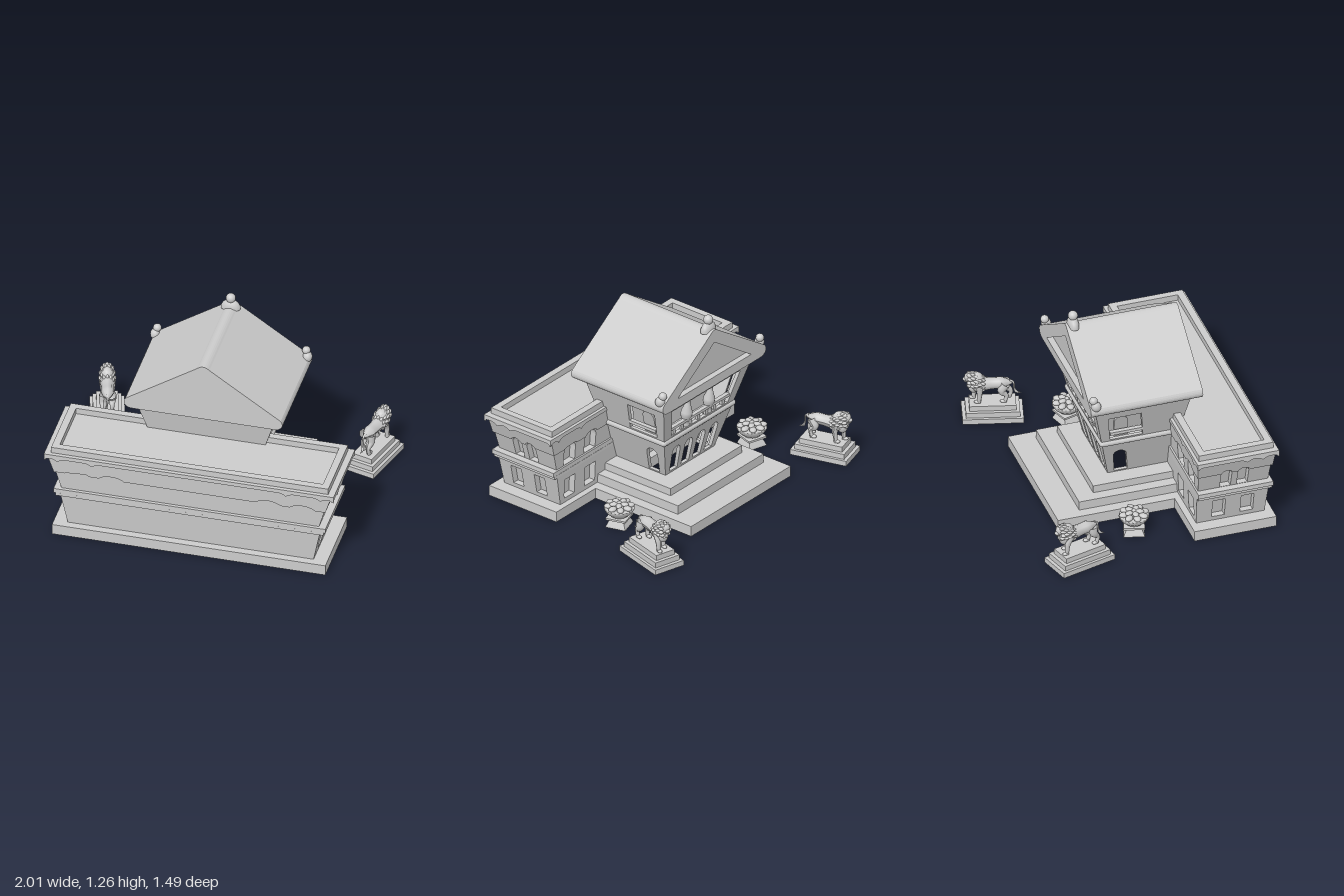
import * as THREE from 'three';

const V = (x, y, z) => new THREE.Vector3(x, y, z);
const lerp = THREE.MathUtils.lerp;
const mat = new THREE.MeshStandardMaterial({ color: 0xcccccc, side: THREE.DoubleSide });

function add(parent, name, geo, x = 0, y = 0, z = 0) {
  const m = new THREE.Mesh(geo, mat);
  m.name = name;
  m.position.set(x, y, z);
  parent.add(m);
  return m;
}
// box given by its limits, centred on x
const slab = (p, name, hx, y0, y1, z0, z1) =>
  add(p, name, new THREE.BoxGeometry(2 * hx, y1 - y0, z1 - z0), 0, (y0 + y1) / 2, (z0 + z1) / 2);
const rect = (u, y, w, h, lean = 0, flare = 0) => ({ u, y, w, h, lean, flare });
const arch = (u, y, w, h, lean = 0) => ({ u, y, w, h, lean, flare: 0, round: true });
const mirror = o => ({ ...o, u: -o.u, lean: -o.lean });

function holePath(o) {
  const at = (x, y) => new THREE.Vector2(o.u + x * (1 + 2 * o.flare * y / o.w) + o.lean * y, o.y + y);
  const r = o.w / 2, pts = [at(-r, 0), at(r, 0)];
  if (!o.round) pts.push(at(r, o.h), at(-r, o.h));
  else for (let i = 0; i <= 12; i++) {
    const a = i / 12 * Math.PI;
    pts.push(at(r * Math.cos(a), o.h - r + r * Math.sin(a)));
  }
  return new THREE.Path(pts);
}
const solid = o => new THREE.Shape(holePath(o).getPoints());
const poly = pts => new THREE.Shape(pts.map(q => new THREE.Vector2(...q)));

// one upright slab facing side s (front, left, back, right), its outer face leaning from ob to ot
function panel(p, name, s, shape, y0, y1, ob, ot, th) {
  const g = new THREE.ExtrudeGeometry(shape, { depth: th, bevelEnabled: false });
  const a = g.attributes.position;
  for (let i = 0; i < a.count; i++) {
    const u = a.getX(i), y = a.getY(i), o = lerp(ob, ot, (y - y0) / (y1 - y0)) - th + a.getZ(i);
    a.setXYZ(i, ...[[u, y, o], [o, y, -u], [-u, y, -o], [-o, y, u]][s]);
  }
  g.computeVertexNormals();
  return add(p, name, g);
}
// four leaning walls; b and t are [half width, back z, front z] at bottom and top
function walls(p, name, b, t, y0, y1, holes = [[], [], []], th = 0.025) {
  const spans = ([h, z0, z1]) => [[-h, h, z1], [-z1, -z0, h], [-h, h, -z0], [z0, z1, h]];
  const B = spans(b), T = spans(t);
  [holes[0], holes[1], holes[2], holes[1].map(mirror)].forEach((list, s) => {
    const sh = poly([[B[s][0], y0], [B[s][1], y0], [T[s][1], y1], [T[s][0], y1]]);
    list.forEach(o => sh.holes.push(holePath(o)));
    panel(p, name, s, sh, y0, y1, B[s][2], T[s][2], th);
  });
}
// hollow step: thin sides and a rim around the opening above; hole is [half width, z0, z1]
function step(p, name, hx, y0, y1, z0, z1, hole, th = 0.035) {
  walls(p, name, [hx, z0, z1], [hx, z0, z1], y0, y1, undefined, th);
  const box = (h, a, b) => [[-h, -b], [h, -b], [h, -a], [-h, -a]];
  const sh = poly(box(hx - 0.001, z0 + 0.001, z1 - 0.001));
  if (hole) sh.holes.push(poly(box(...hole)));
  add(p, name + 'Top', new THREE.ExtrudeGeometry(sh, { depth: 0.01, bevelEnabled: false }), 0, y1 - 0.01).rotation.x = -Math.PI / 2;
}
const lathe = (pts, n) => new THREE.LatheGeometry(pts.map(q => new THREE.Vector2(...q)), n);

function wing(p) {
  const g = new THREE.Group(); g.name = 'wing'; p.add(g);
  step(g, 'wingBase', 0.873, 0, 0.07, 0.2, 0.735, [0.74, 0.285, 0.64], 0.05);
  const low = [rect(-0.565, 0.1, 0.083, 0.135), rect(-0.38, 0.1, 0.083, 0.135)];
  const lowBack = [], upBack = [];
  for (const s of [-1, 1]) for (const x of [0.5, 0.7]) {
    lowBack.push(rect(s * x, 0.1, 0.1, 0.135));
    upBack.push(arch(s * x, 0.335, 0.11, 0.145));
  }
  walls(g, 'wingLowerWall', [0.785, 0.24, 0.685], [0.83, 0.23, 0.7], 0.07, 0.29, [[], low, lowBack], 0.045);
  walls(g, 'wingLowerLiner', [0.742, 0.283, 0.642], [0.787, 0.273, 0.657], 0.07, 0.29, undefined, 0.008);
  slab(g, 'wingBeltLower', 0.855, 0.28, 0.3, 0.23, 0.712);
  slab(g, 'wingBelt', 0.868, 0.303, 0.332, 0.228, 0.716);
  slab(g, 'wingBeltCore', 0.845, 0.29, 0.31, 0.24, 0.7);
  const up = [-0.525, -0.415].map(u => arch(u, 0.335, 0.07, 0.142));
  walls(g, 'wingUpperWall', [0.822, 0.24, 0.695], [0.895, 0.222, 0.71], 0.33, 0.58, [[], up, upBack], 0.045);
  walls(g, 'wingUpperLiner', [0.779, 0.283, 0.652], [0.852, 0.265, 0.667], 0.33, 0.58, undefined, 0.008);
  // raised upper panels with arched notches, standing proud of each wall
  const raised = (s, b, t, notches, r, ob, ot) => {
    const f = new THREE.Shape();
    f.moveTo(b[0], 0.457);
    for (const x of notches) {
      f.lineTo(x - r, 0.457);
      f.quadraticCurveTo(x - r * 0.6, 0.482, x, 0.482);
      f.quadraticCurveTo(x + r * 0.6, 0.482, x + r, 0.457);
    }
    f.lineTo(b[1], 0.457); f.lineTo(t[1], 0.575); f.lineTo(t[0], 0.575);
    panel(g, 'raisedPanel', s, f, 0.457, 0.575, ob, ot, 0.014);
  };
  const bumps = [-0.72, -0.5, 0.5, 0.72], backBumps = [-0.7, -0.5, 0.5, 0.7];
  raised(0, [-0.867, 0.867], [-0.905, 0.905], bumps, 0.08, 0.713, 0.72);
  raised(2, [-0.867, 0.867], [-0.905, 0.905], backBumps, 0.06, -0.223, -0.213);
  raised(1, [-0.713, -0.223], [-0.72, -0.213], [-0.525, -0.415], 0.04, 0.867, 0.905);
  raised(3, [0.223, 0.713], [0.213, 0.72], [0.415, 0.525], 0.04, 0.867, 0.905);
  slab(g, 'cornice', 0.925, 0.573, 0.597, 0.205, 0.735);
  // drooping trim below the cornice
  const trim = (s, u0, u1, dips, o) => {
    const sh = new THREE.Shape();
    sh.moveTo(u0, 0.58); sh.lineTo(u0, 0.555);
    sh.quadraticCurveTo(u0 + 0.02, 0.57, u0 + 0.04, 0.57);
    for (const d of dips) {
      sh.lineTo(d - 0.05, 0.57);
      sh.quadraticCurveTo(d - 0.02, 0.568, d, 0.55);
      sh.quadraticCurveTo(d + 0.02, 0.568, d + 0.05, 0.57);
    }
    sh.lineTo(u1 - 0.04, 0.57);
    sh.quadraticCurveTo(u1 - 0.02, 0.57, u1, 0.555);
    sh.lineTo(u1, 0.58);
    panel(g, 'scallopTrim', s, sh, 0, 1, o, o, 0.012);
  };
  const dips = [-0.84, -0.62, 0.62, 0.84];
  trim(0, -0.925, 0.925, dips, 0.735);
  trim(2, -0.925, 0.925, dips, -0.205);
  trim(1, -0.735, -0.205, [-0.63, -0.53], 0.925);
  trim(3, 0.205, 0.735, [0.53, 0.63], 0.925);
  walls(g, 'parapet', [0.885, 0.225, 0.71], [0.885, 0.225, 0.71], 0.59, 0.637, undefined, 0.045);
}

function hall(p) {
  const g = new THREE.Group(); g.name = 'hall'; p.add(g);
  step(g, 'bottomStep', 0.488, 0, 0.07, -0.56, 0.21, [0.385, -0.365, 0.2]);
  step(g, 'middleStep', 0.42, 0.07, 0.13, -0.4, 0.26, [0.315, -0.25, 0.22]);
  step(g, 'topStep', 0.35, 0.13, 0.18, -0.285, 0.25, [0.215, -0.13, 0.2]);
  const doors = [-0.168, -0.056, 0.056, 0.168].map(u => arch(u, 0.195, 0.075, 0.19, u * 0.6));
  walls(g, 'lowerWall', [0.24, -0.155, 0.24], [0.335, -0.222, 0.275], 0.18, 0.46,
    [[], [arch(0.07, 0.19, 0.085, 0.19, 0.15)], doors]);
  // rounded belt
  slab(g, 'beltFloor', 0.335, 0.452, 0.488, -0.222, 0.27);
  for (const s of [-1, 1]) {
    add(g, 'beltSide', new THREE.CapsuleGeometry(0.019, 0.46, 4, 10), s * 0.338, 0.47, 0.01).rotation.x = Math.PI / 2;
    add(g, 'beltEnd', new THREE.CapsuleGeometry(0.019, 0.67, 4, 10), 0, 0.47, s > 0 ? 0.25 : -0.222).rotation.z = Math.PI / 2;
  }
  walls(g, 'upperWall', [0.337, -0.224, 0.276], [0.44, -0.302, 0.33], 0.47, 0.79,
    [[], [rect(0.068, 0.5, 0.215, 0.2, 0.15)], [rect(0, 0.5, 0.55, 0.22, 0, 0.27)]]);
  slab(g, 'innerRoom', 0.25, 0.47, 0.79, -0.12, 0.2);
  // recessed side windows, each with an arched panel and a rail
  for (const s of [-1, 1]) {
    const side = s > 0 ? 1 : 3, flip = o => solid(s > 0 ? o : mirror(o));
    panel(g, 'windowBack', side, flip(rect(0.066, 0.485, 0.24, 0.235, 0.15)), 0.5, 0.7, 0.292, 0.356, 0.01);
    panel(g, 'windowArch', side, flip(arch(0.088, 0.49, 0.09, 0.175, 0.1)), 0.5, 0.7, 0.304, 0.368, 0.014);
    add(g, 'sideRail', new THREE.BoxGeometry(0.03, 0.02, 0.21), s * 0.35, 0.551, -0.072);
  }
  // balcony rail and vase columns
  add(g, 'balconyRail', new THREE.BoxGeometry(0.58, 0.018, 0.028), 0, 0.55, -0.222);
  for (let i = -3; i <= 3; i++)
    add(g, 'balconyPost', new THREE.BoxGeometry(0.025, 0.06, 0.018), i * 0.08, 0.518, -0.215);
  const vase = lathe([[0, 0], [0.028, 0], [0.028, 0.04], [0.02, 0.05], [0.038, 0.1], [0.036, 0.125], [0.016, 0.185], [0.014, 0.21], [0.028, 0.235], [0.028, 0.26]], 16);
  for (const x of [-0.11, 0.11]) add(g, 'vaseColumn', vase, x, 0.48, -0.2).rotation.x = -0.15;
}

function roof(p) {
  const g = new THREE.Group(); g.name = 'roof'; p.add(g);
  const sh = new THREE.Shape();
  sh.moveTo(-0.44, 0.783); sh.lineTo(0.44, 0.783); sh.lineTo(0.475, 0.785);
  sh.quadraticCurveTo(0.525, 0.81, 0.495, 0.853);
  sh.lineTo(0.04, 1.158);
  sh.quadraticCurveTo(0, 1.195, -0.04, 1.158);
  sh.lineTo(-0.495, 0.853);
  sh.quadraticCurveTo(-0.525, 0.81, -0.475, 0.785);
  const ext = (s, d) => new THREE.ExtrudeGeometry(s, { depth: d, bevelEnabled: false, curveSegments: 8 });
  add(g, 'roofBody', ext(sh, 0.69), 0, 0, -0.31);
  const ring = sh.clone();
  ring.holes = [poly([[-0.36, 0.845], [0.36, 0.845], [0, 1.09]])];
  add(g, 'pediment', ext(ring, 0.041), 0, 0, -0.35);
  // ball finials
  const foot = lathe([[0.036, -0.015], [0.035, 0.005], [0.029, 0.025], [0.018, 0.042], [0, 0.05]], 16);
  const ball = new THREE.SphereGeometry(0.031, 16, 12);
  add(g, 'ridgeFinialFoot', foot, 0, 1.172, -0.3).scale.set(1.75, 1, 1);
  add(g, 'ridgeFinialBall', ball, 0, 1.233, -0.3);
  for (const s of [-1, 1]) {
    const b = add(g, 'eaveFinialFoot', new THREE.SphereGeometry(0.032, 14, 10), s * 0.487, 0.867, -0.312);
    b.scale.set(0.95, 1.1, 1);
    b.rotation.x = -0.4;
    add(g, 'eaveFinialBall', ball, s * 0.476, 0.905, -0.325).scale.setScalar(0.85);
  }
}

function flowerBowl(p, s) {
  const g = new THREE.Group(); g.name = 'flowerBowl'; p.add(g);
  g.position.set(s * 0.65, 0, -0.12);
  const k = Math.SQRT2;
  const foot = lathe([[0.066 * k, 0], [0.063 * k, 0.01], [0.048 * k, 0.045], [0.066 * k, 0.052], [0.066 * k, 0.065], [0, 0.065]], 4).toNonIndexed();
  foot.computeVertexNormals();
  add(g, 'bowlFoot', foot).rotation.y = Math.PI / 4 + s * 0.29;
  add(g, 'bowl', lathe([[0.03, 0.06], [0.055, 0.07], [0.082, 0.095], [0.095, 0.118], [0.093, 0.128], [0, 0.128]], 24));
  const petal = new THREE.SphereGeometry(1, 10, 8);
  [[8, 0.066, 0.136, 0.031], [5, 0.036, 0.149, 0.027], [1, 0, 0.155, 0.018]].forEach(([n, r, y, size], j) => {
    for (let i = 0; i < n; i++) {
      const a = (i + j / 2) / n * Math.PI * 2;
      const m = add(g, 'petal', petal, r * Math.cos(a), y, r * Math.sin(a));
      m.scale.set(size, size * 0.5, size * 0.75);
      m.rotation.y = -a;
    }
  });
}

// tube through points whose radius follows a list
function limb(p, name, pts, radii) {
  const c = new THREE.CatmullRomCurve3(pts), n = 12, r = 8;
  const geo = new THREE.TubeGeometry(c, n, 1, r), a = geo.attributes.position, v = V();
  for (let i = 0; i < a.count; i++) {
    const t = Math.floor(i / (r + 1)) / n, f = t * (radii.length - 1), j = Math.min(Math.floor(f), radii.length - 2);
    const q = c.getPointAt(t);
    v.fromBufferAttribute(a, i).sub(q).multiplyScalar(lerp(radii[j], radii[j + 1], f - j)).add(q);
    a.setXYZ(i, v.x, v.y, v.z);
  }
  geo.computeVertexNormals();
  return add(p, name, geo);
}

function lion(p, s) {
  const g = new THREE.Group(); g.name = 'lionStatue'; p.add(g);
  g.position.set(s * 0.85, 0, -0.54);
  g.rotation.y = -s * 0.27;
  [[0.108, 0.19], [0.09, 0.168], [0.068, 0.145]].forEach(([w, d], i) =>
    step(g, 'plinthTier', w, i * 0.035, (i + 1) * 0.035, -d, d, i < 2 && [w - 0.038, 0.04 - d, d - 0.04], 0.02));
  const ball = new THREE.SphereGeometry(1, 14, 10);
  const blob = (name, x, y, z, a, b, c) => add(g, name, ball, x, y, z).scale.set(a, b, c);
  // body runs from rump to chest, head toward -z
  limb(g, 'body', [V(0, 0.235, 0.12), V(0, 0.235, 0.075), V(0, 0.232, 0), V(0, 0.232, -0.07), V(0, 0.24, -0.12)],
    [0.01, 0.038, 0.037, 0.045, 0.036]);
  for (const e of [-1, 1]) {
    const f = e * s > 0 ? -0.015 : 0.015;
    limb(g, 'frontLeg', [V(e * 0.028, 0.235, -0.085), V(e * 0.03, 0.18, -0.095 + f), V(e * 0.028, 0.108, -0.1 + f)], [0.026, 0.017, 0.012]);
    blob('frontPaw', e * 0.028, 0.115, -0.11 + f, 0.014, 0.011, 0.02);
    limb(g, 'hindLeg', [V(e * 0.022, 0.235, 0.08), V(e * 0.028, 0.19, 0.07 - f), V(e * 0.027, 0.155, 0.1 - f), V(e * 0.027, 0.108, 0.09 - f)],
      [0.032, 0.027, 0.014, 0.012]);
    blob('hindPaw', e * 0.027, 0.115, 0.08 - f, 0.014, 0.011, 0.02);
    blob('brow', e * 0.012, 0.296, -0.158, 0.009, 0.007, 0.009);
  }
  // mane: a full ruff with overlapping locks swept back
  blob('mane', 0, 0.248, -0.1, 0.047, 0.066, 0.052);
  blob('chest', 0, 0.215, -0.118, 0.034, 0.045, 0.034);
  for (let j = 0; j < 5; j++) for (let i = 0; i < 11; i++) {
    const a = (i + j / 2) / 11 * Math.PI * 2, r = [0.033, 0.039, 0.042, 0.041, 0.034][j];
    const m = add(g, 'maneLock', ball, r * Math.sin(a), 0.264 - j * 0.008 + r * 1.25 * Math.cos(a), -0.142 + j * 0.02);
    m.scale.set(0.01, 0.014, 0.019);
    m.rotation.set(0.4 * Math.cos(a), 0.4 * Math.sin(a), -a);
  }
  blob('head', 0, 0.282, -0.145, 0.028, 0.032, 0.03);
  blob('muzzle', 0, 0.269, -0.168, 0.016, 0.013, 0.017);
  blob('jaw', 0, 0.256, -0.162, 0.012, 0.009, 0.015);
  limb(g, 'tail', [V(0, 0.25, 0.105), V(0, 0.235, 0.13), V(s * 0.004, 0.19, 0.135), V(s * 0.006, 0.157, 0.15), V(s * 0.008, 0.15, 0.18)],
    [0.009, 0.006, 0.005, 0.009, 0.001]);
}

export function createModel() {
  const model = new THREE.Group();
  model.name = 'pavilion';
  wing(model);
  hall(model);
  roof(model);
  for (const s of [-1, 1]) {
    flowerBowl(model, s);
    lion(model, s);
  }
  return model;
}
